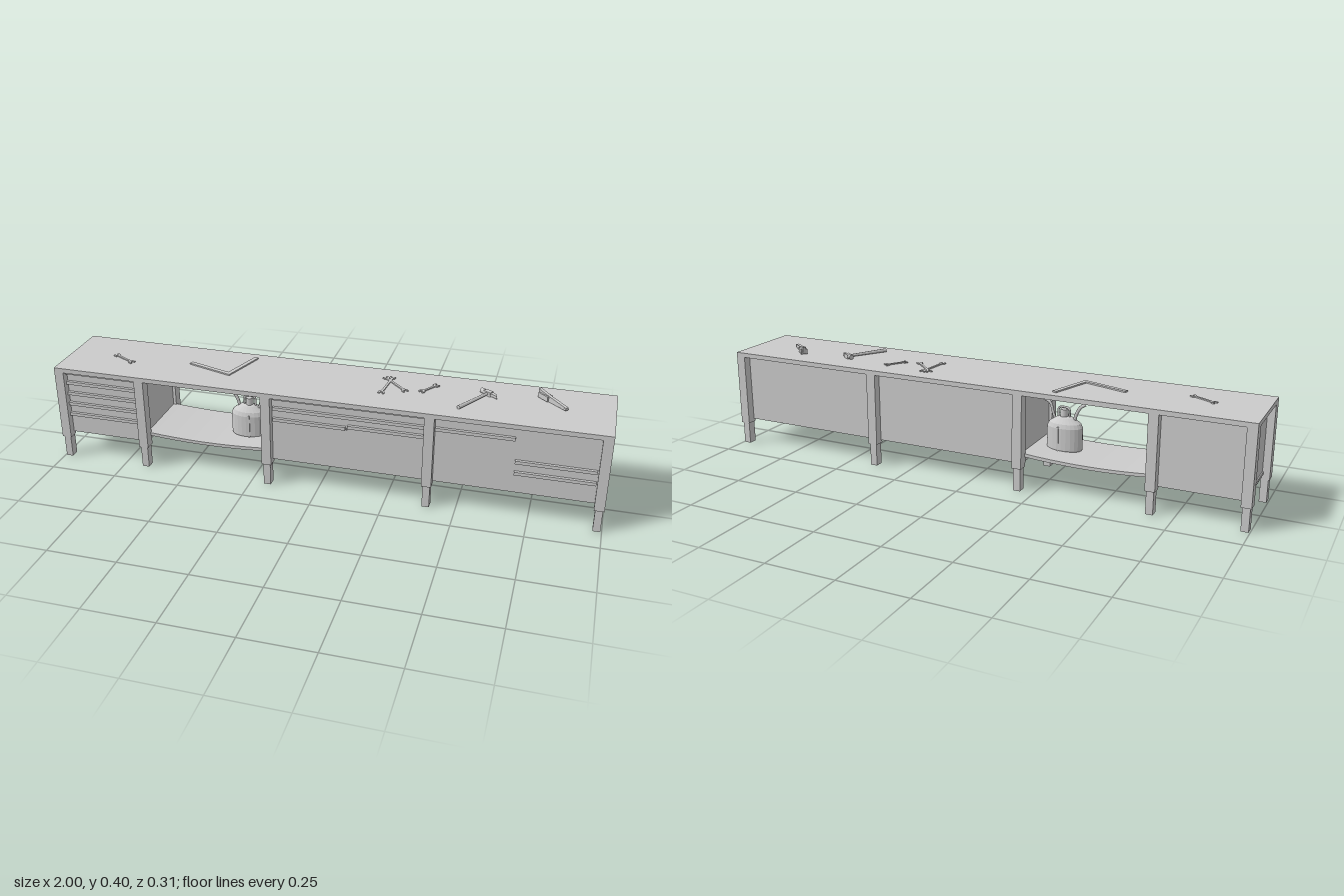
import * as THREE from 'three';

const mat = new THREE.MeshStandardMaterial({ color: 0xcccccc });
const flat = new THREE.MeshStandardMaterial({ color: 0xcccccc, flatShading: true });
const TOP = 0.367;

function add(parent, name, geo, x = 0, y = 0, z = 0, m = mat) {
  const mesh = new THREE.Mesh(geo, m);
  mesh.name = name;
  mesh.position.set(x, y, z);
  parent.add(mesh);
  return mesh;
}

// Box given by its limits on each axis
function span(parent, name, x0, x1, y0, y1, z0, z1) {
  return add(parent, name, new THREE.BoxGeometry(x1 - x0, y1 - y0, z1 - z0),
    (x0 + x1) / 2, (y0 + y1) / 2, (z0 + z1) / 2);
}

// Flat outline laid on the bench top; shape y becomes -z
function layFlat(shape, height) {
  const geo = new THREE.ExtrudeGeometry(shape, { depth: height, bevelEnabled: false, curveSegments: 6 });
  return geo.rotateX(-Math.PI / 2);
}

// Group on the bench whose local +x runs from a to b, both [x, z]
function toolGroup(parent, name, a, b) {
  const g = new THREE.Group();
  g.name = name;
  g.position.set((a[0] + b[0]) / 2, TOP, (a[1] + b[1]) / 2);
  g.rotation.y = -Math.atan2(b[1] - a[1], b[0] - a[0]);
  parent.add(g);
  return g;
}

// Double open-ended wrench
function wrench(parent, a, b) {
  const half = Math.hypot(b[0] - a[0], b[1] - a[1]) / 2;
  const g = toolGroup(parent, 'wrench', a, b);
  const pts = [[half - 0.018, 0.004], [half - 0.012, 0.011], [half, 0.011], [half, 0.005],
    [half - 0.009, 0.004], [half - 0.009, -0.004], [half, -0.005], [half, -0.011],
    [half - 0.012, -0.011], [half - 0.018, -0.004]];
  const outline = [...pts.map(p => [p[0], p[1]]), ...pts.map(p => [-p[0], -p[1]])];
  const shape = new THREE.Shape(outline.map(p => new THREE.Vector2(p[0], p[1])));
  add(g, 'wrenchBody', layFlat(shape, 0.004));
}

function addFrame(bench) {
  span(bench, 'benchTop', -1, 1, 0.35, TOP, -0.157, 0.157);
  for (const x of [-0.9825, -0.667, -0.187, 0.396, 0.9825]) {
    for (const s of [-1, 1]) {
      add(bench, 'post', new THREE.BoxGeometry(0.035, 0.267, 0.039), x, 0.2165, s * 0.1375);
      add(bench, 'foot', new THREE.BoxGeometry(0.026, 0.083, 0.032), x, 0.0415, s * 0.1365);
    }
    // Cross panel between the front and back posts
    const px = Math.abs(x) > 0.9 ? Math.sign(x) * 0.968 : x;
    add(bench, 'crossPanel', new THREE.BoxGeometry(0.012, 0.258, 0.236), px, 0.221, 0);
  }
}

function addCabinets(bench) {
  const bays = [[-0.966, -0.684], [-0.17, 0.38], [0.412, 0.966]];
  for (const [x0, x1] of bays) {
    span(bench, 'frontPanel', x0, x1, 0.096, 0.35, 0.118, 0.13);
    span(bench, 'backPanel', x0, x1, 0.094, 0.35, -0.126, -0.116);
    span(bench, 'cabinetFloor', x0 - 0.012, x1 + 0.012, 0.102, 0.112, -0.12, 0.12);
  }
  // Drawer pulls: x range and height
  const pull = (x0, x1, y) => span(bench, 'drawerPull', x0, x1, y - 0.006, y + 0.006, 0.128, 0.141);
  for (const y of [0.344, 0.303, 0.26, 0.217, 0.174]) pull(-0.965, -0.69, y);
  for (const y of [0.344, 0.303]) pull(-0.165, 0.375, y);
  pull(-0.165, 0.1, 0.26);
  pull(0.107, 0.375, 0.267);
  pull(0.415, 0.685, 0.303);
  for (const y of [0.217, 0.174]) pull(0.69, 0.962, y);
  span(bench, 'doorSeam', 0.1, 0.104, 0.098, 0.26, 0.128, 0.132);
}

// Open shelf with a slight sag
function addShelf(bench) {
  const w = 0.48;
  const geo = new THREE.BoxGeometry(w, 0.012, 0.25, 16, 1, 1);
  const p = geo.attributes.position;
  for (let i = 0; i < p.count; i++) {
    const t = p.getX(i) / (w / 2);
    p.setY(i, p.getY(i) - 0.011 * (1 - t * t));
  }
  geo.computeVertexNormals();
  add(bench, 'saggingShelf', geo, -0.427, 0.127, 0);
}

function addCan(bench) {
  const can = new THREE.Group();
  can.name = 'oilCan';
  can.position.set(-0.3, 0.122, 0.01);
  bench.add(can);
  // Rounded body with sloping shoulders
  const body = new THREE.LatheGeometry([[0, 0], [0.062, 0], [0.066, 0.006], [0.066, 0.085],
    [0.058, 0.1], [0.032, 0.118], [0.02, 0.122], [0, 0.122]].map(p => new THREE.Vector2(...p)), 24);
  body.scale(1, 1, 0.6);
  add(can, 'canBody', body, 0, 0, 0, flat);
  add(can, 'canSeam', new THREE.BoxGeometry(0.006, 0.088, 0.084), 0.012, 0.046, 0);
  add(can, 'fillerCap', new THREE.CylinderGeometry(0.014, 0.014, 0.028, 14), 0.004, 0.134, 0);
  const tube = (name, pts, r) => add(can, name, new THREE.TubeGeometry(
    new THREE.CatmullRomCurve3(pts.map(p => new THREE.Vector3(p[0], p[1], 0))), 16, r, 8));
  tube('longSpout', [[-0.034, 0.1], [-0.04, 0.13], [-0.056, 0.16], [-0.076, 0.174]], 0.006);
  tube('rearSpout', [[0.035, 0.1], [0.046, 0.13], [0.058, 0.165], [0.082, 0.176]], 0.005);
  tube('carryHandle', [[-0.016, 0.115], [-0.014, 0.15], [0.006, 0.155], [0.024, 0.15], [0.026, 0.115]], 0.004);
}

function addTools(bench) {
  wrench(bench, [-0.83, -0.01], [-0.738, 0.04]);
  wrench(bench, [0.203, 0.047], [0.217, -0.093]);
  wrench(bench, [0.19, -0.085], [0.285, 0.01]);
  wrench(bench, [0.335, 0.0], [0.383, -0.072]);

  // Carpenter's square
  const square = toolGroup(bench, 'carpenterSquare', [-0.53, -0.006], [-0.356, 0.05]);
  span(square, 'squareLongArm', -0.091, 0.091, 0, 0.005, -0.016, 0);
  span(square, 'squareShortArm', 0.075, 0.091, 0, 0.005, -0.178, -0.016);

  // Hammer, head at local +x
  const hammer = toolGroup(bench, 'hammer', [0.483, 0.095], [0.567, -0.045]);
  const handle = new THREE.CylinderGeometry(0.005, 0.007, 0.165, 10).rotateZ(-Math.PI / 2);
  add(hammer, 'hammerHandle', handle, 0, 0.008, 0);
  add(hammer, 'hammerHeadCore', new THREE.BoxGeometry(0.018, 0.016, 0.03), 0.078, 0.008, 0);
  add(hammer, 'hammerFace', new THREE.CylinderGeometry(0.009, 0.009, 0.016, 12).rotateX(Math.PI / 2), 0.078, 0.009, -0.022);
  const claw = new THREE.Shape([[0.07, -0.014], [0.087, -0.014], [0.082, -0.032], [0.068, -0.046], [0.07, -0.03]]
    .map(p => new THREE.Vector2(...p)));
  add(hammer, 'hammerClaw', layFlat(claw, 0.01), 0, 0.003, 0);

  // Brush: slim handle rising into a thick head
  const brush = toolGroup(bench, 'brush', [0.74, -0.077], [0.837, 0.013]);
  const side = new THREE.Shape([[-0.066, 0.006], [-0.02, 0.002], [0.066, 0.003], [0.066, 0.013],
    [-0.012, 0.022], [-0.07, 0.032]].map(p => new THREE.Vector2(...p)));
  const back = new THREE.ExtrudeGeometry(side, { depth: 0.012, bevelEnabled: false });
  add(brush, 'brushHandle', back, 0, 0, -0.006);
  span(brush, 'brushHead', -0.064, -0.018, 0.003, 0.021, -0.012, 0.012);
  add(brush, 'brushPin', new THREE.CylinderGeometry(0.003, 0.003, 0.015, 10).rotateX(Math.PI / 2), 0.058, 0.008, 0);
}

export function createModel() {
  const bench = new THREE.Group();
  bench.name = 'workbench';
  addFrame(bench);
  addCabinets(bench);
  addShelf(bench);
  addCan(bench);
  addTools(bench);
  return bench;
}
